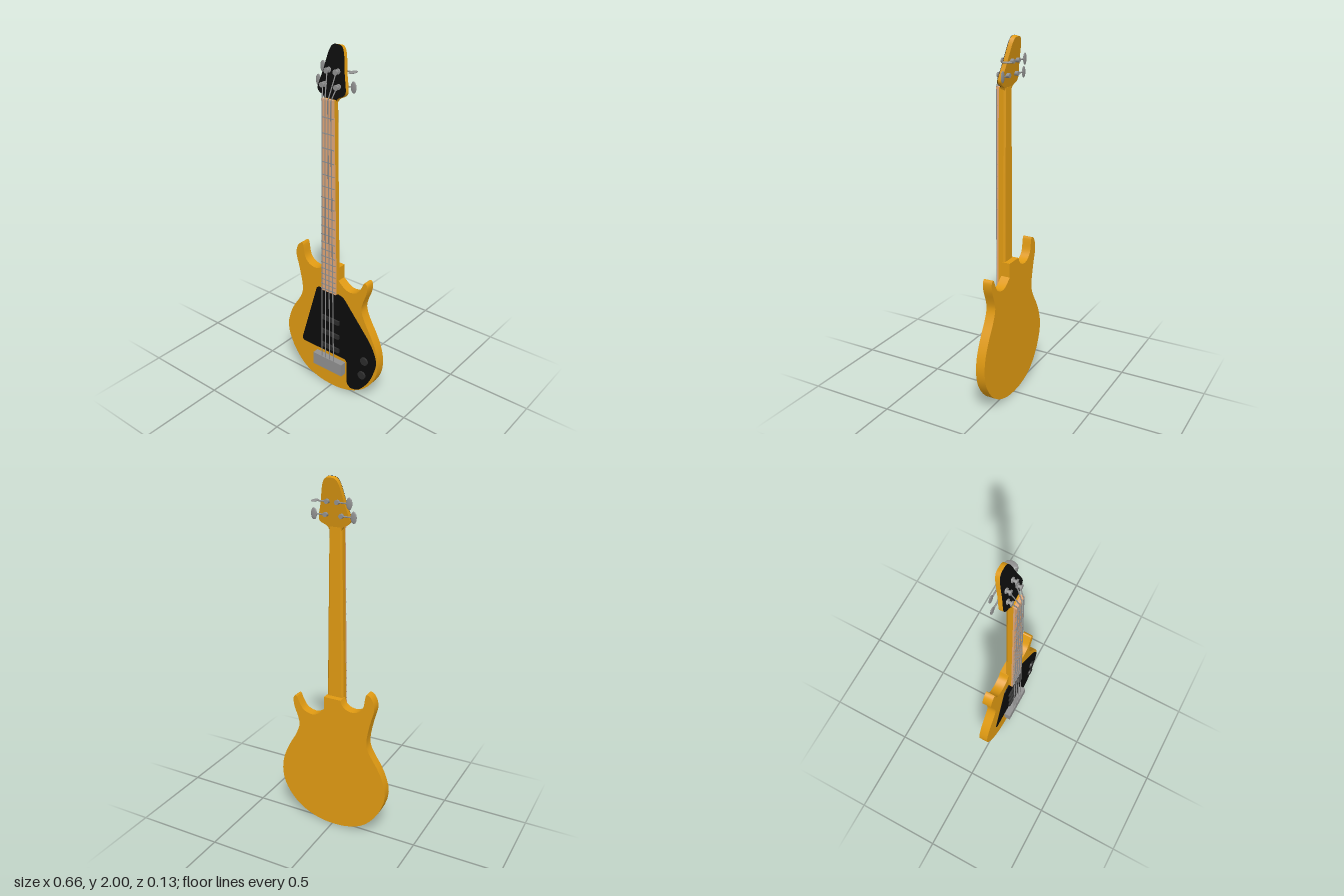
import * as THREE from 'three';
import { toCreasedNormals } from 'three/addons/utils/BufferGeometryUtils.js';

const mat = (color) => new THREE.MeshStandardMaterial({ color });
const V = (x, y, z) => new THREE.Vector3(x, y, z);
const pts2 = (list) => list.map(([x, y]) => new THREE.Vector2(x, y));

export function createModel() {
  const model = new THREE.Group();
  const amber = mat(0xe09a12), black = mat(0x0c0c0c), dark = mat(0x2c2c2c);
  const metal = mat(0x909090), wood = mat(0xe3a878);

  function add(name, geometry, material, x = 0, y = 0, z = 0, parent = model) {
    const mesh = new THREE.Mesh(geometry, material);
    mesh.name = name;
    mesh.position.set(x, y, z);
    parent.add(mesh);
    return mesh;
  }
  const box = (w, h, d) => new THREE.BoxGeometry(w, h, d);
  const slab = (shape, depth) => toCreasedNormals(
    new THREE.ExtrudeGeometry(shape, { depth, bevelEnabled: false, curveSegments: 10 }), 0.6);

  // Cylinder running between two points
  function rod(name, a, b, r, material, parent = model, r2 = r, sides = 8) {
    const dir = b.clone().sub(a);
    const mesh = add(name, new THREE.CylinderGeometry(r2, r, dir.length(), sides), material, 0, 0, 0, parent);
    mesh.position.copy(a).addScaledVector(dir, 0.5);
    mesh.quaternion.setFromUnitVectors(V(0, 1, 0), dir.normalize());
    return mesh;
  }

  // Polygon with rounded corners; each point is [x, y, corner radius]
  function roundedShape(list) {
    const shape = new THREE.Shape();
    list.forEach(([x, y, r], i) => {
      const c = new THREE.Vector2(x, y);
      const toward = ([px, py]) => c.clone().add(new THREE.Vector2(px - x, py - y).setLength(r));
      const a = toward(list.at(i - 1)), b = toward(list[(i + 1) % list.length]);
      if (i === 0) shape.moveTo(a.x, a.y); else shape.lineTo(a.x, a.y);
      shape.quadraticCurveTo(x, y, b.x, b.y);
    });
    shape.closePath();
    return shape;
  }

  // Body: neck heel, right lobe and horn, then bottom and the other horn
  const body = new THREE.Shape();
  body.moveTo(-0.05, 0.81);
  body.lineTo(0.05, 0.81);
  body.lineTo(0.05, 0.73);
  body.splineThru(pts2([
    [0.09, 0.697], [0.13, 0.685], [0.18, 0.702], [0.208, 0.745], [0.225, 0.778], [0.243, 0.765],
    [0.24, 0.715], [0.215, 0.645], [0.21, 0.595], [0.235, 0.53], [0.28, 0.45], [0.315, 0.365],
    [0.327, 0.28], [0.31, 0.19], [0.255, 0.105], [0.18, 0.045], [0.09, 0.01], [0, 0],
    [-0.1, 0.01], [-0.2, 0.052], [-0.285, 0.15], [-0.329, 0.28], [-0.297, 0.41], [-0.225, 0.53],
    [-0.21, 0.6], [-0.23, 0.71], [-0.253, 0.8], [-0.237, 0.86], [-0.208, 0.88], [-0.199, 0.86],
    [-0.188, 0.8], [-0.16, 0.766], [-0.115, 0.754], [-0.07, 0.772], [-0.05, 0.81]]));
  const bodyGeo = toCreasedNormals(new THREE.ExtrudeGeometry(body,
    { depth: 0.053, bevelEnabled: false, curveSegments: 3 }), 0.6);
  add('body', bodyGeo, amber, 0, 0, -0.029);

  // Pickguard
  const guard = roundedShape([
    [-0.1, 0.642, 0.02], [0.08, 0.642, 0.03], [0.285, 0.4, 0.05], [0.325, 0.3, 0.05], [0.275, 0.145, 0.07],
    [0.185, 0.042, 0.05], [0.115, 0.05, 0.04], [0.113, 0.23, 0.025], [-0.222, 0.23, 0.03]]);
  add('pickguard', slab(guard, 0.005), black, 0, 0, 0.023);

  // Pickups, knobs, bridge
  for (const y of [0.46, 0.365, 0.272]) add('pickup', box(0.122, 0.026, 0.014), dark, 0, y, 0.033);
  for (const [x, y] of [[0.24, 0.282], [0.225, 0.18]])
    rod('knob', V(x, y, 0.026), V(x, y, 0.038), 0.025, dark, model, 0.024, 24);
  add('bridge', box(0.207, 0.078, 0.038), metal, -0.002, 0.167, 0.043);

  // Tapered bar along y; section points are [x, z] on the wide end
  const yLow = 0.65, yTop = 1.745;
  const halfWidth = (y) => THREE.MathUtils.lerp(0.051, 0.036, (y - yLow) / (yTop - yLow));
  function taperedBar(section) {
    const shape = new THREE.Shape(pts2(section.map(([x, z]) => [x, -z])));
    const geo = new THREE.ExtrudeGeometry(shape, { depth: yTop - yLow, bevelEnabled: false });
    geo.rotateX(-Math.PI / 2).translate(0, yLow, 0);
    const p = geo.attributes.position;
    for (let i = 0; i < p.count; i++) p.setX(i, p.getX(i) * halfWidth(p.getY(i)));
    geo.computeVertexNormals();
    return toCreasedNormals(geo, 0.3);
  }
  add('neck', taperedBar([[-1, 0.041], [-1, 0.014], [-0.8, 0.004], [0.8, 0.004], [1, 0.014], [1, 0.041]]), amber);
  add('fretboard', taperedBar([[-1, 0.05], [-1, 0.041], [1, 0.041], [1, 0.05]]), wood);
  add('nut', box(0.072, 0.012, 0.018), wood, 0, 1.741, 0.049);

  // Frets follow equal-tempered spacing
  for (let n = 1; n <= 20; n++) {
    const y = 1.74 - 1.57 * (1 - 2 ** (-n / 12));
    add('fret', box(2 * halfWidth(y), 0.005, 0.004), metal, 0, y, 0.051);
  }

  // Headstock, leaning back, with a dark face plate
  const head = new THREE.Group();
  head.name = 'headstock';
  head.position.set(0, 1.737, 0.032);
  head.rotation.x = -0.21;
  model.add(head);
  const headShape = new THREE.Shape();
  headShape.moveTo(-0.036, 0);
  headShape.lineTo(0.036, 0);
  headShape.bezierCurveTo(0.04, 0.03, 0.088, 0.02, 0.087, 0.055);
  headShape.bezierCurveTo(0.082, 0.09, 0.068, 0.12, 0.062, 0.16);
  headShape.bezierCurveTo(0.05, 0.215, 0.045, 0.269, 0.012, 0.269);
  headShape.lineTo(-0.012, 0.269);
  headShape.bezierCurveTo(-0.045, 0.269, -0.05, 0.215, -0.062, 0.16);
  headShape.bezierCurveTo(-0.068, 0.12, -0.082, 0.09, -0.087, 0.055);
  headShape.bezierCurveTo(-0.088, 0.02, -0.04, 0.03, -0.036, 0);
  add('headstockWood', slab(headShape, 0.023), amber, 0, 0, -0.025, head);
  add('headstockFace', slab(headShape, 0.002), black, 0, 0, -0.002, head);

  // Tuners: post with collar, back gear, shaft and oval button
  const tuners = [
    { x: -0.046, y: 1.808, z: 0.017, bx: -0.115 }, { x: -0.031, y: 1.877, z: 0.002, bx: -0.098 },
    { x: 0.026, y: 1.877, z: 0.002, bx: 0.09, turned: true }, { x: 0.042, y: 1.808, z: 0.017, bx: 0.105 }];
  for (const { x, y, z, bx, turned } of tuners) {
    const tuner = new THREE.Group();
    tuner.name = 'tuner';
    model.add(tuner);
    rod('postCollar', V(x, y, z - 0.008), V(x, y, z + 0.006), 0.014, metal, tuner, 0.014, 16);
    rod('post', V(x, y, z), V(x, y, z + 0.02), 0.008, metal, tuner, 0.008, 12);
    rod('postCap', V(x, y, z + 0.019), V(x, y, z + 0.026), 0.014, metal, tuner, 0.014, 16);
    const back = z - 0.037;
    rod('gear', V(x, y, z - 0.02), V(x, y, back - 0.007), 0.012, metal, tuner, 0.012, 16);
    rod('shaft', V(x, y, back), V(bx, y, back), 0.004, metal, tuner);
    const button = add('button', new THREE.SphereGeometry(1, 20, 12), metal, bx, y, back, tuner);
    button.scale.set(0.017, 0.03, 0.005);
    if (turned) button.rotation.x = Math.PI / 2;
  }

  // Strings: bridge to nut, then nut to post
  [-0.045, -0.016, 0.014, 0.042].forEach((x, i) => {
    const nut = V([-0.027, -0.009, 0.009, 0.027][i], 1.742, 0.06);
    const t = tuners[i];
    rod('string', V(x, 0.19, 0.058), nut, 0.003, metal, model, 0.003, 6);
    rod('stringEnd', nut, V(t.x, t.y, t.z + 0.014), 0.003, metal, model, 0.003, 6);
  });

  return model;
}
